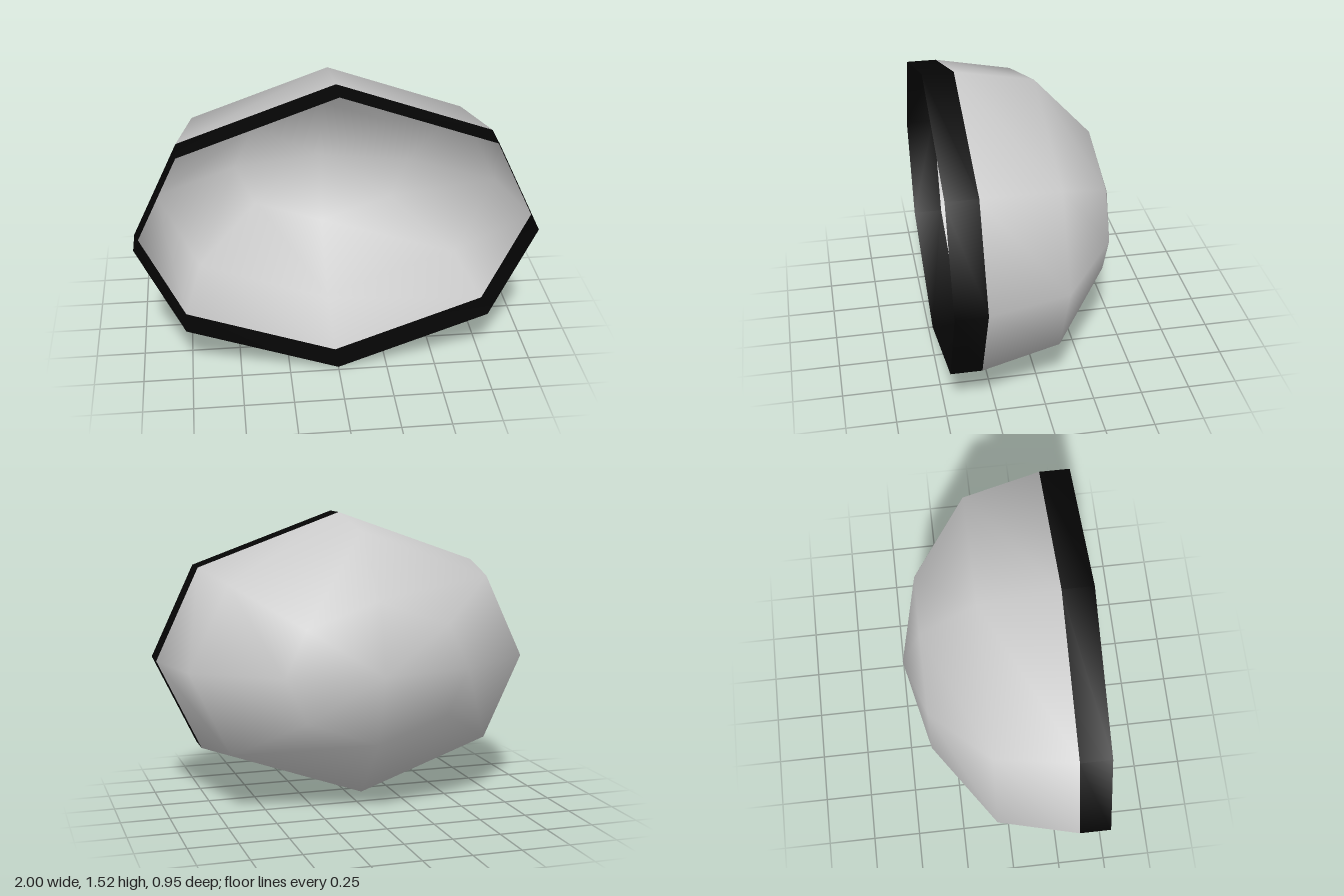
import * as THREE from 'three';

const CY = 0.76; // height of the dome's axis
const corner = [0.77, 0.485];
// Eight-sided outline, counter-clockwise seen from +z
const outline = [
  [1, 0], corner, [0, CY], [-corner[0], corner[1]],
  [-1, 0], [-corner[0], -corner[1]], [0, -CY], [corner[0], -corner[1]],
];

// Skin through scaled copies of the outline; rings are [scale, z], front to back
function loft(rings, apexZ) {
  const pos = [], idx = [], n = outline.length;
  for (const [s, z] of rings) for (const [x, y] of outline) pos.push(x * s, CY + y * s, z);
  for (let r = 0; r < rings.length - 1; r++) {
    for (let i = 0; i < n; i++) {
      const a = r * n + i, b = r * n + (i + 1) % n;
      idx.push(a, a + n, b, b, a + n, b + n);
    }
  }
  if (apexZ !== undefined) {
    const base = (rings.length - 1) * n, tip = rings.length * n;
    pos.push(0, CY, apexZ);
    for (let i = 0; i < n; i++) idx.push(base + i, tip, base + (i + 1) % n);
  }
  const g = new THREE.BufferGeometry();
  g.setAttribute('position', new THREE.Float32BufferAttribute(pos, 3));
  g.setIndex(idx);
  g.computeVertexNormals();
  return g;
}

export function createModel() {
  const group = new THREE.Group();
  const add = (name, geometry, color) => {
    const material = new THREE.MeshStandardMaterial({ color, side: THREE.DoubleSide });
    const mesh = new THREE.Mesh(geometry, material);
    mesh.name = name;
    group.add(mesh);
  };

  // Open, thin dome bulging towards the back
  add('domeShell', loft([[1, 0.32], [0.9, -0.08], [0.48, -0.37]], -0.477), 0xcccccc);
  // Straight dark band around the opening
  add('rimBand', loft([[1, 0.477], [1, 0.32]]), 0x050505);

  return group;
}
